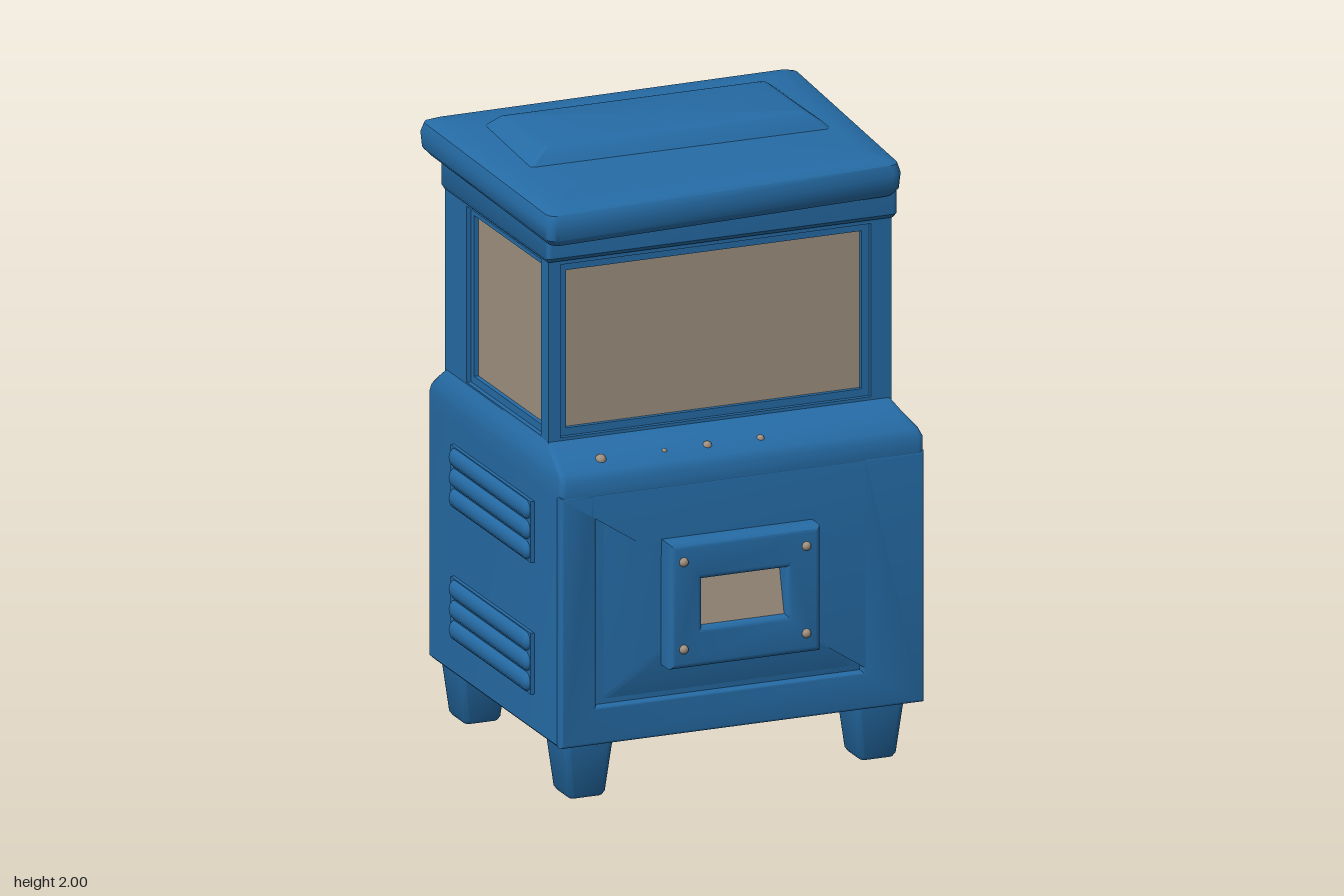
import * as THREE from 'three';
import { toCreasedNormals } from 'three/addons/utils/BufferGeometryUtils.js';

const blue = new THREE.MeshStandardMaterial({ color: 0x256ba5 });
blue.name = 'painted blue metal';
const beige = new THREE.MeshStandardMaterial({ color: 0xa09180 });
beige.name = 'beige glass';
const beigeOpen = new THREE.MeshStandardMaterial({ color: 0xa09180, side: THREE.DoubleSide });
beigeOpen.name = 'beige lining';

// Loft through rounded rectangles [y, x0, x1, z0, z1, r], capped at both ends.
function loft(rings, rule) {
  const pos = [], idx = [], seg = 4, n = 4 * (seg + 1);
  for (const [y, x0, x1, z0, z1, r] of rings) {
    const corners = [[x1 - r, z1 - r], [x0 + r, z1 - r], [x0 + r, z0 + r], [x1 - r, z0 + r]];
    corners.forEach(([cx, cz], k) => {
      for (let i = 0; i <= seg; i++) {
        const a = (k + i / seg) * Math.PI / 2;
        pos.push(cx + r * Math.cos(a), y, cz + r * Math.sin(a));
      }
    });
  }
  const last = rings.length - 1;
  for (let j = 0; j < last; j++) {
    for (let i = 0; i < n; i++) {
      const a = j * n + i, b = j * n + (i + 1) % n;
      idx.push(a, a + n, b, b, a + n, b + n);
    }
  }
  for (const j of [0, last]) {
    const [y, x0, x1, z0, z1] = rings[j], c = pos.length / 3;
    pos.push((x0 + x1) / 2, y, (z0 + z1) / 2);
    for (let i = 0; i < n; i++) {
      const a = j * n + i, b = j * n + (i + 1) % n;
      if (j) idx.push(c, b, a); else idx.push(c, a, b);
    }
  }
  const g = new THREE.BufferGeometry();
  g.setAttribute('position', new THREE.Float32BufferAttribute(pos, 3));
  g.setIndex(idx);
  if (rule) {
    const p = g.attributes.position, v = new THREE.Vector3();
    for (let i = 0; i < p.count; i++) {
      rule(v.fromBufferAttribute(p, i));
      p.setXYZ(i, v.x, v.y, v.z);
    }
  }
  return toCreasedNormals(g, 0.7);
}

// Flat plate with a rectangular hole; outer and hole are [x0, x1, y0, y1], front face at z = 0.
function frame(outer, hole, depth, bevel = 0) {
  const b = bevel, rect = (path, [x0, x1, y0, y1], o) => {
    path.moveTo(x0 + o, y0 + o);
    path.lineTo(x1 - o, y0 + o);
    path.lineTo(x1 - o, y1 - o);
    path.lineTo(x0 + o, y1 - o);
    path.closePath();
    return path;
  };
  const s = rect(new THREE.Shape(), outer, b);
  s.holes.push(rect(new THREE.Path(), hole, -b));
  const g = new THREE.ExtrudeGeometry(s, {
    depth: depth - b, bevelEnabled: b > 0, bevelSize: b, bevelThickness: b, bevelSegments: 3,
  });
  g.translate(0, 0, -depth);
  return toCreasedNormals(g, 0.7);
}

export function createModel() {
  const model = new THREE.Group();
  model.name = 'cabinet';
  const add = (parent, name, geo, mat, x = 0, y = 0, z = 0) => {
    const m = new THREE.Mesh(geo, mat);
    m.name = name;
    m.position.set(x, y, z);
    parent.add(m);
    return m;
  };

  // Lower cabinet and sloped shoulder
  add(model, 'body', loft([
    [0.18, -0.59, 0.62, -0.55, 0.455, 0.02], [0.19, -0.6, 0.63, -0.56, 0.465, 0.02],
    [1.0, -0.6, 0.63, -0.56, 0.465, 0.02],
  ]), blue);
  add(model, 'shoulder', loft([
    [1.0, -0.6, 0.63, -0.56, 0.49, 0.02], [1.05, -0.6, 0.63, -0.56, 0.49, 0.02],
    [1.075, -0.597, 0.62, -0.55, 0.475, 0.02], [1.11, -0.59, 0.595, -0.51, 0.41, 0.02],
    [1.14, -0.575, 0.58, -0.48, 0.34, 0.02],
  ]), blue);

  // Front panel with a sunken field that slopes up to the chute box
  add(model, 'frontPanel', frame([-0.6, 0.63, 0.185, 1.005], [-0.48, 0.42, 0.31, 0.99], 0.03, 0.01), blue, 0, 0, 0.49);
  const field = loft([
    [0, -0.46, 0.4, -0.33, 0.33, 0.01], [0.025, -0.34, 0.32, -0.24, 0.24, 0.02],
  ]);
  field.rotateX(Math.PI / 2);
  add(model, 'slopedField', field, blue, 0, 0.645, 0.462);

  // Chute box, its opening and bolts
  add(model, 'chuteBox', frame([-0.26, 0.25, 0.42, 0.83], [-0.15, 0.135, 0.55, 0.705], 0.085, 0.018), blue, 0, 0, 0.56);
  const flap = add(model, 'chuteFlap', new THREE.PlaneGeometry(0.31, 0.18), beige, -0.0075, 0.627, 0.515);
  flap.rotation.x = -0.25;
  for (const x of [-0.215, 0.2]) {
    for (const y of [0.485, 0.77]) {
      add(model, 'bolt', new THREE.SphereGeometry(0.015, 12, 8), beige, x, y, 0.56);
    }
  }

  // Buttons on the shoulder
  for (const [x, r] of [[-0.44, 0.018], [-0.225, 0.009], [-0.08, 0.015], [0.1, 0.013]]) {
    add(model, 'button', new THREE.SphereGeometry(r, 12, 8), beige, x, 1.095, 0.43);
  }

  // Ribbed vents on both sides
  for (const side of [-1, 1]) {
    for (const y of [0.835, 0.405]) {
      const vent = new THREE.Group();
      vent.name = side > 0 ? 'leftVent' : 'rightVent';
      vent.position.set(side > 0 ? 0.63 : -0.6, y, -0.035);
      model.add(vent);
      add(vent, 'ventPlate', new THREE.BoxGeometry(0.024, 0.2, 0.63), blue);
      for (const dy of [-0.066, 0, 0.066]) {
        const g = new THREE.CapsuleGeometry(0.033, 0.56, 4, 12);
        g.rotateX(Math.PI / 2);
        g.scale(0.75, 1, 1);
        add(vent, 'ventRib', g, blue, side * 0.005, dy, 0);
      }
    }
  }

  // Tapered legs
  for (const x of [-0.487, 0.497]) {
    for (const z of [0.37, -0.45]) {
      add(model, 'leg', loft([
        [0, -0.055, 0.055, -0.06, 0.06, 0.015], [0.012, -0.064, 0.064, -0.068, 0.068, 0.02],
        [0.19, -0.084, 0.084, -0.086, 0.086, 0.02],
      ]), blue, x, 0, z);
    }
  }

  // Cabin walls: outer frame, recessed inner frame and glass
  const wall = (name, outer, hole, face, turn, glass, thick = 0.05) => {
    const g = new THREE.Group();
    g.name = name;
    g.rotation.y = turn;
    model.add(g);
    const rim = [hole[0] - 0.025, hole[1] + 0.025, hole[2] - 0.025, hole[3] + 0.025];
    const back = [rim[0] - 0.01, rim[1] + 0.01, rim[2] - 0.01, rim[3] + 0.01];
    add(g, 'wallFrame', frame(outer, rim, 0.04), blue, 0, 0, face);
    add(g, 'windowTrim', frame(back, hole, thick), blue, 0, 0, face - 0.015);
    if (glass) {
      add(g, 'windowPane', new THREE.PlaneGeometry(hole[1] - hole[0], hole[3] - hole[2]), glass,
        (hole[0] + hole[1]) / 2, (hole[2] + hole[3]) / 2, face - 0.03);
    }
  };
  wall('frontWall', [-0.575, 0.585, 1.12, 1.8], [-0.51, 0.49, 1.175, 1.69], 0.335, 0, beige);
  wall('backWall', [-0.585, 0.575, 1.12, 1.82], [-0.49, 0.49, 1.17, 1.66], 0.48, Math.PI, null, 0.1);
  wall('leftWall', [-0.335, 0.48, 1.12, 1.82], [-0.25, 0.285, 1.17, 1.695], 0.585, Math.PI / 2, beigeOpen);
  wall('rightWall', [-0.48, 0.335, 1.12, 1.82], [-0.285, 0.25, 1.17, 1.695], 0.575, -Math.PI / 2, beige);

  // Interior: heaped floor and ceiling lining
  const heap = new THREE.PlaneGeometry(1.06, 0.72, 16, 12);
  heap.rotateX(-Math.PI / 2);
  const hp = heap.attributes.position;
  for (let i = 0; i < hp.count; i++) {
    const u = Math.cos(hp.getX(i) / 1.06 * Math.PI), v = Math.cos(hp.getZ(i) / 0.72 * Math.PI);
    hp.setY(i, 0.05 * Math.sqrt(Math.max(0, u * v)));
  }
  heap.computeVertexNormals();
  add(model, 'heapedFloor', heap, beigeOpen, 0, 1.145, -0.07);
  add(model, 'ceiling', new THREE.BoxGeometry(1.08, 0.01, 0.74), beige, 0, 1.74, -0.07);

  // Cornice below the roof
  add(model, 'cornice', loft([
    [1.73, -0.58, 0.59, -0.48, 0.345, 0.01], [1.745, -0.59, 0.595, -0.483, 0.36, 0.015],
    [1.83, -0.59, 0.595, -0.483, 0.36, 0.015],
  ].map((r) => r)), blue);

  // Tilted, slightly skewed roof slab
  const skew = (v) => {
    v.y += (0.45 - v.z) * 0.045;
    v.x = v.x * (1 - 0.05 * (v.z + 0.5)) - 0.012;
    v.z -= v.x * (v.z > 0 ? 0.13 * v.z : 0.015);
  };
  add(model, 'roof', loft([
    [1.8, -0.58, 0.58, -0.46, 0.36, 0.03], [1.808, -0.62, 0.62, -0.5, 0.4, 0.03],
    [1.83, -0.64, 0.64, -0.518, 0.417, 0.035], [1.88, -0.645, 0.645, -0.52, 0.42, 0.035],
    [1.91, -0.635, 0.635, -0.51, 0.41, 0.03], [1.923, -0.61, 0.61, -0.485, 0.385, 0.03],
    [1.93, -0.55, 0.55, -0.42, 0.32, 0.03],
  ], skew), blue);
  add(model, 'roofPanel', loft([
    [1.935, -0.53, 0.51, -0.37, 0.07, 0.015], [1.965, -0.5, 0.48, -0.35, 0.05, 0.015],
    [1.995, -0.46, 0.44, -0.325, 0.03, 0.015], [2.0, -0.44, 0.42, -0.31, 0.015, 0.015],
  ]), blue);

  return model;
}
